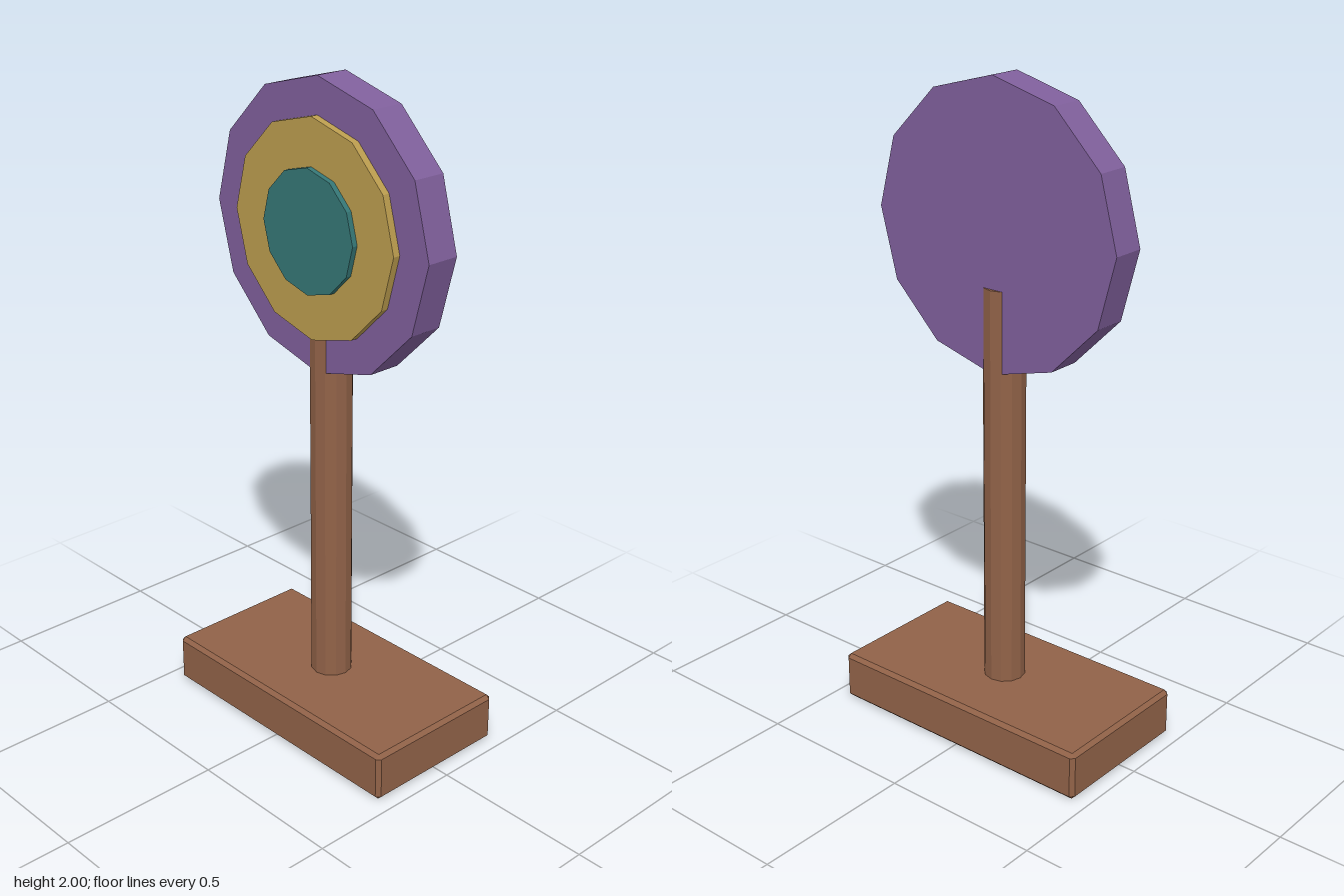
import * as THREE from 'three';
import { ConvexGeometry } from 'three/addons/geometries/ConvexGeometry.js';

const SIDES = 12;
const DISC_Y = 1.573;

function material(name, color) {
  const m = new THREE.MeshStandardMaterial({ color, flatShading: true });
  m.name = name;
  return m;
}

// Box centred on the origin with every edge chamfered by b
function chamferedBox(w, h, d, b) {
  const points = [];
  for (const x of [-1, 1]) for (const y of [-1, 1]) for (const z of [-1, 1]) {
    for (let axis = 0; axis < 3; axis++) {
      const inset = [b, b, b];
      inset[axis] = 0;
      points.push(new THREE.Vector3(
        x * (w / 2 - inset[0]), y * (h / 2 - inset[1]), z * (d / 2 - inset[2])));
    }
  }
  return new ConvexGeometry(points);
}

export function createModel() {
  const group = new THREE.Group();
  group.name = 'targetStand';
  const wood = material('brownWood', 0x916248);
  const purple = material('purple', 0x7f5f9b);
  const yellow = material('yellow', 0xbb9c4e);
  const teal = material('teal', 0x357675);

  function add(name, geometry, mat, y) {
    const mesh = new THREE.Mesh(geometry, mat);
    mesh.name = name;
    mesh.position.y = y;
    group.add(mesh);
  }

  // Upright disc spanning z0 to z1
  function addDisc(name, radius, z0, z1, mat) {
    const geometry = new THREE.CylinderGeometry(radius, radius, z1 - z0, SIDES);
    geometry.rotateX(Math.PI / 2).translate(0, 0, (z0 + z1) / 2);
    add(name, geometry, mat, DISC_Y);
  }

  // Base and post
  add('base', chamferedBox(0.91, 0.152, 0.48, 0.012), wood, 0.076);
  add('post', new THREE.CylinderGeometry(0.0635, 0.0635, 1.3, SIDES), wood, 0.75);

  // Stepped target rings
  addDisc('outerDisc', 0.427, -0.0525, 0.0525, purple);
  addDisc('middleDisc', 0.32, 0.03, 0.0752, yellow);
  addDisc('centreDisc', 0.182, 0.05, 0.0925, teal);

  return group;
}
